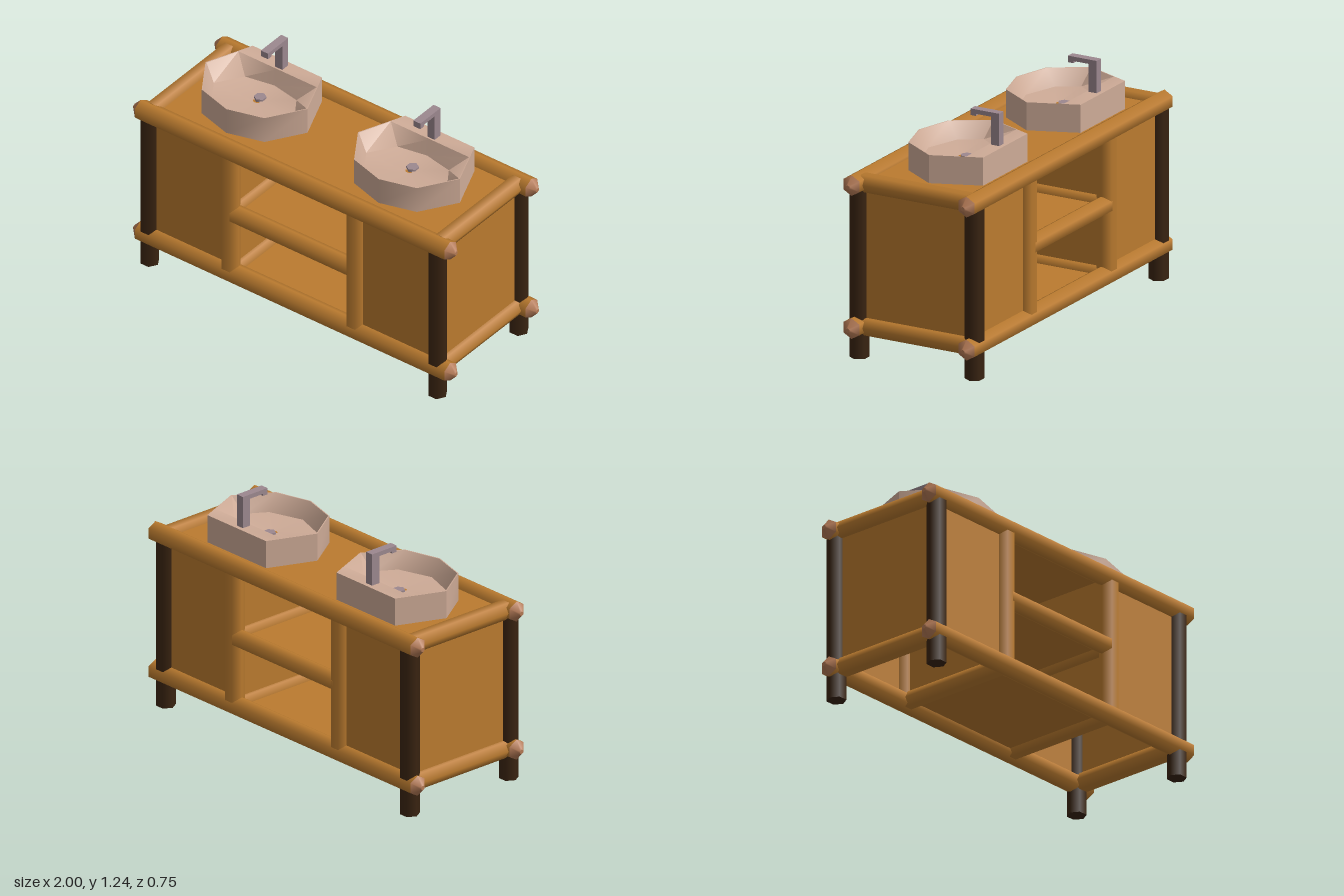
import * as THREE from 'three';
import { toCreasedNormals } from 'three/addons/utils/BufferGeometryUtils.js';

const mat = (name, color, side = THREE.FrontSide) => {
  const m = new THREE.MeshStandardMaterial({ color, side });
  m.name = name;
  return m;
};

export function createModel() {
  const root = new THREE.Group();
  root.name = 'doubleVanity';
  const wood = mat('honey wood', 0xbb7b2f);
  const dark = mat('dark wood', 0x3a2411);
  const endGrain = mat('end grain', 0xb57a55);
  const ceramic = mat('beige ceramic', 0xceab97, THREE.DoubleSide);
  const metal = mat('mauve metal', 0x9c888f);

  const add = (parent, name, geo, material, x = 0, y = 0, z = 0) => {
    const m = new THREE.Mesh(geo, material);
    m.name = name;
    m.position.set(x, y, z);
    parent.add(m);
    return m;
  };
  // Six-sided log running along an axis from a to b
  const log = (name, axis, a, b, r, material, x, y, z, turn = Math.PI / 6, r2 = r) => {
    const g = new THREE.CylinderGeometry(r2, r, b - a, 6).rotateY(turn);
    if (axis === 'x') g.rotateZ(-Math.PI / 2);
    if (axis === 'z') g.rotateX(Math.PI / 2);
    const p = { x, y, z };
    p[axis] = (a + b) / 2;
    return add(root, name, g, material, p.x, p.y, p.z);
  };
  // Thin board between two corners
  const board = (name, x0, x1, y0, y1, z0, z1) =>
    add(root, name, new THREE.BoxGeometry(x1 - x0, y1 - y0, z1 - z0), wood,
      (x0 + x1) / 2, (y0 + y1) / 2, (z0 + z1) / 2);

  const LOW = 0.167, HIGH = 0.911, SHELF = 0.535;
  const endX = [-0.905, 0.885], midX = [-0.4, 0.378], sideZ = [-0.328, 0.33];

  // Long rails with tapered end caps
  for (const y of [LOW, HIGH]) for (const z of sideZ) {
    log('longRail', 'x', -0.962, 0.962, 0.054, wood, 0, y, z);
    log('railEnd', 'x', 0.962, 1, 0.054, endGrain, 0, y, z, Math.PI / 6, 0.012);
    log('railEnd', 'x', -1, -0.962, 0.012, endGrain, 0, y, z, Math.PI / 6, 0.054);
  }

  // Corner legs and cross rails at both ends
  for (const x of endX) {
    for (const z of sideZ) log('cornerLeg', 'y', 0, 0.9, 0.05, dark, x, 0, z);
    for (const y of [LOW, HIGH]) log('endRail', 'z', -0.31, 0.31, 0.05, wood, x, y, 0);
    board('endPanel', x - 0.006, x + 0.006, LOW, HIGH, -0.31, 0.31);
  }

  // Middle posts, their cross rails and dividers
  for (const x of midX) {
    for (const z of sideZ) log('middlePost', 'y', LOW, HIGH, 0.05, wood, x, 0, z);
    for (const y of [LOW, SHELF]) log('crossRail', 'z', -0.31, 0.31, 0.045, wood, x, y, 0);
    board('divider', x - 0.006, x + 0.006, LOW, HIGH, -0.32, 0.32);
  }

  // Cabinet fronts and backs, shelf rails
  for (const z of sideZ) {
    board('cabinetPanel', endX[0], midX[0], LOW, HIGH, z - 0.006, z + 0.006);
    board('cabinetPanel', midX[1], endX[1], LOW, HIGH, z - 0.006, z + 0.006);
    log('shelfRail', 'x', -0.385, 0.365, 0.05, wood, 0, SHELF, z);
  }
  board('shelf', midX[0], midX[1], SHELF - 0.006, SHELF + 0.006, -0.32, 0.32);
  board('floor', midX[0], midX[1], LOW - 0.006, LOW + 0.006, -0.32, 0.32);
  board('counterTop', endX[0], endX[1], 0.912, 0.924, -0.32, 0.32);

  // Basin: mirrored half outlines, stacked from outer base to bowl floor
  const loop = (half, y, s = 1) => {
    const left = half.map(([x, z]) => [-x * s, y, z * s]);
    const right = half.slice(1, 4).reverse().map(([x, z]) => [x * s, y, z * s]);
    return [...left, ...right];
  };
  const outer = [[0, -0.25], [0.215, -0.25], [0.317, 0], [0.195, 0.19], [0, 0.245]];
  const rim = [[0, -0.17], [0.243, -0.17], [0.311, 0], [0.192, 0.185], [0, 0.239]];
  const base = [[0, -0.145], [0.16, -0.115], [0.25, 0.02], [0.18, 0.13], [0, 0.19]];
  const loops = [loop(outer, 0.92), loop(outer, 1.07), loop(rim, 1.07),
    loop(base, 0.985), loop(base, 0.975, 0.08)];
  const index = [];
  for (let r = 0; r < loops.length - 1; r++) for (let i = 0; i < 8; i++) {
    const a = r * 8 + i, b = r * 8 + (i + 1) % 8;
    index.push(a, b, b + 8, a, b + 8, a + 8);
  }
  let basinGeo = new THREE.BufferGeometry();
  basinGeo.setAttribute('position', new THREE.Float32BufferAttribute(loops.flat(2), 3));
  basinGeo.setIndex(index);
  basinGeo = toCreasedNormals(basinGeo, 0.8);

  for (const x of [-0.495, 0.4525]) {
    const sink = new THREE.Group();
    sink.name = 'sink';
    sink.position.x = x;
    root.add(sink);
    add(sink, 'basin', basinGeo, ceramic);
    add(sink, 'drain', new THREE.CylinderGeometry(0.032, 0.032, 0.016, 6), metal, 0, 0.978, -0.03);
    // Square tap: upright, arm and downturned spout
    const tap = (name, y0, y1, z0, z1) =>
      add(sink, name, new THREE.BoxGeometry(0.044, y1 - y0, z1 - z0), metal, 0, (y0 + y1) / 2, (z0 + z1) / 2);
    tap('tapUpright', 1.06, 1.215, -0.228, -0.18);
    tap('tapArm', 1.215, 1.238, -0.228, -0.064);
    tap('tapSpout', 1.204, 1.215, -0.094, -0.064);
  }
  return root;
}
